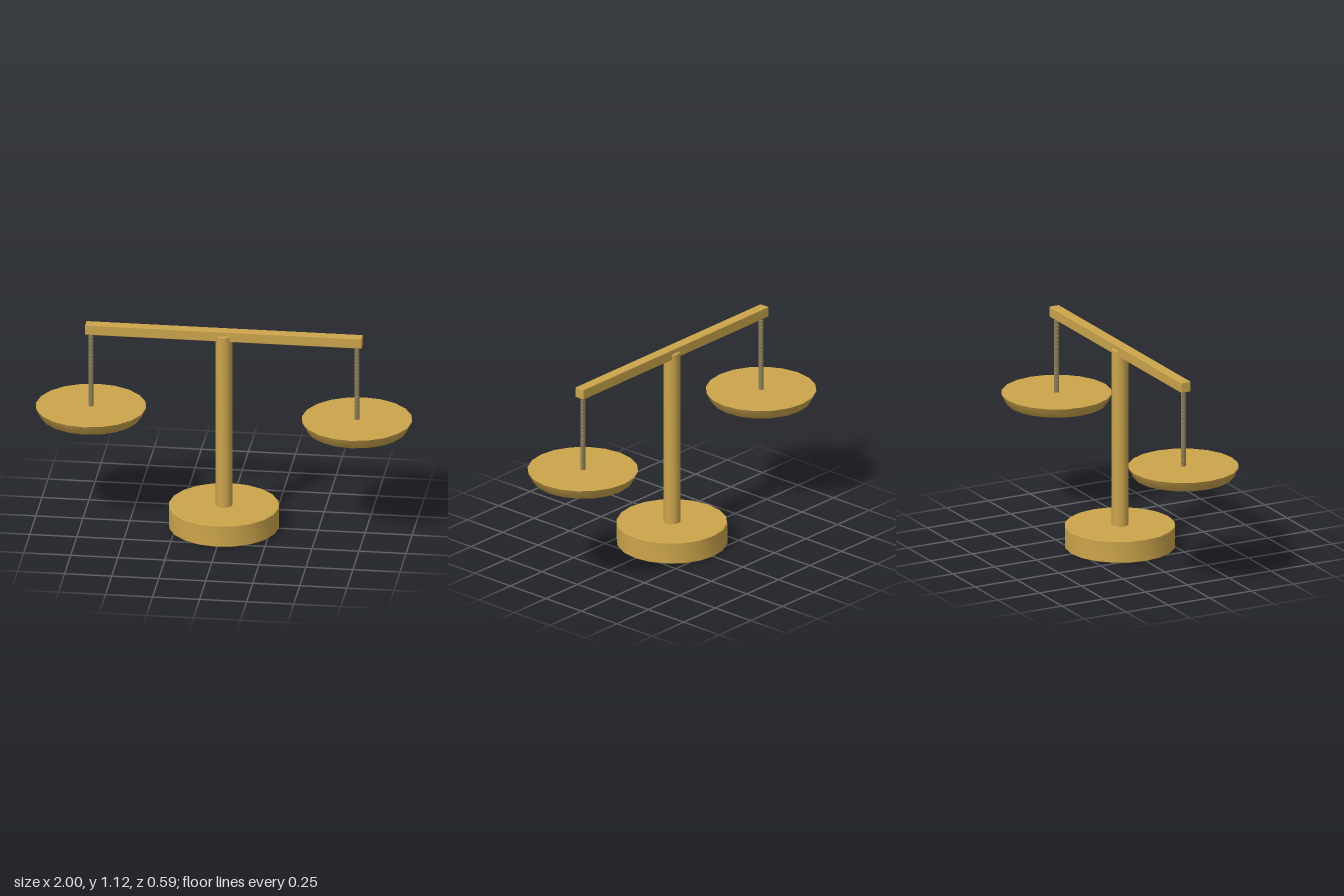
import * as THREE from 'three';
import { toCreasedNormals } from 'three/addons/utils/BufferGeometryUtils.js';
import { RoundedBoxGeometry } from 'three/addons/geometries/RoundedBoxGeometry.js';

function material(name, color) {
  const m = new THREE.MeshStandardMaterial({ color });
  m.name = name;
  return m;
}
const brass = material('brass', 0xcca54c);
const dullMetal = material('dullMetal', 0x8c7f58);

// Turned solid from [radius, y] pairs listed from bottom to top
function turned(name, profile, sides, mat) {
  const points = profile.map(([r, y]) => new THREE.Vector2(r, y));
  const geometry = toCreasedNormals(new THREE.LatheGeometry(points, sides), 0.6);
  const mesh = new THREE.Mesh(geometry, mat);
  mesh.name = name;
  return mesh;
}

export function createModel() {
  const model = new THREE.Group();
  model.name = 'balanceScale';

  // Heavy round foot with slightly eased edges
  model.add(turned('base', [
    [0, 0], [0.29, 0], [0.293, 0.003], [0.293, 0.117], [0.29, 0.12], [0, 0.12],
  ], 20, brass));

  // Upright column
  model.add(turned('column', [
    [0, 0.11], [0.044, 0.11], [0.044, 1.091], [0.04, 1.095], [0, 1.095],
  ], 20, brass));

  // Crossbeam with softened edges
  const beam = new THREE.Mesh(new RoundedBoxGeometry(1.47, 0.057, 0.057, 2, 0.004), brass);
  beam.name = 'beam';
  beam.position.y = 1.092;
  model.add(beam);

  // Ribbed hanger profile: a stack of small rounded rings
  const ribs = 21, bottom = 0.643, pitch = (1.07 - bottom) / ribs;
  const hangerProfile = [[0, bottom]];
  for (let i = 0; i < ribs; i++) {
    const y = bottom + i * pitch;
    hangerProfile.push([0.0125, y], [0.014, y + pitch * 0.15], [0.014, y + pitch * 0.85]);
  }
  hangerProfile.push([0.0125, 1.07], [0, 1.07]);

  // A hanger and its flat dish on each side
  for (const [side, label] of [[1, 'left'], [-1, 'right']]) {
    const assembly = new THREE.Group();
    assembly.name = label + 'PanAssembly';
    assembly.position.x = side * 0.707;
    assembly.add(turned(label + 'Hanger', hangerProfile, 12, dullMetal));
    assembly.add(turned(label + 'Pan', [
      [0, 0.592], [0.262, 0.592], [0.267, 0.596], [0.293, 0.648], [0.291, 0.65], [0, 0.65],
    ], 20, brass));
    model.add(assembly);
  }
  return model;
}
